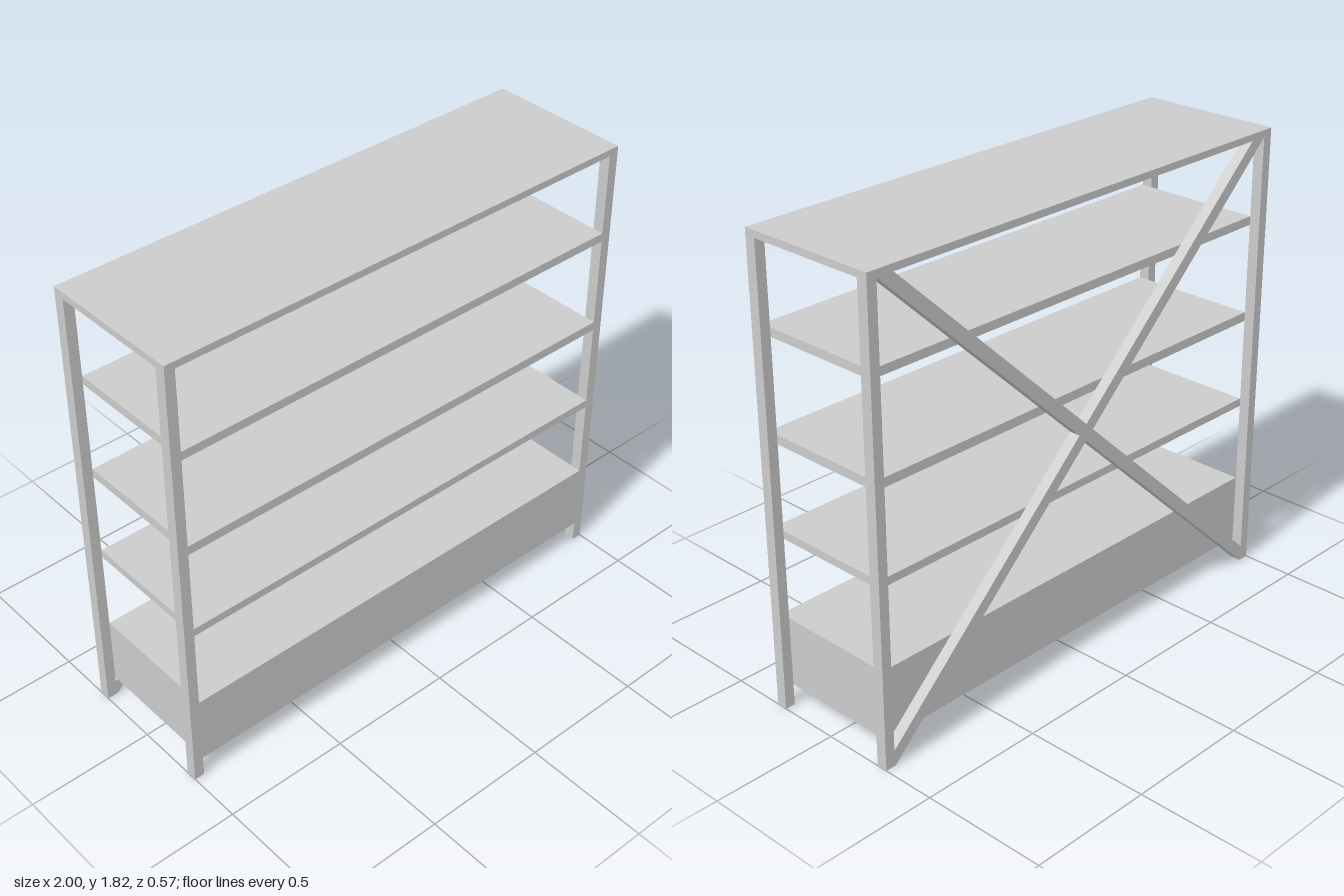
import * as THREE from 'three';

export function createModel() {
  const group = new THREE.Group();
  const material = new THREE.MeshStandardMaterial({ color: 0xcccccc });

  const W = 1, D = 0.287, H = 1.82;      // half width, half depth, height
  const IX = 0.96, IZ = 0.243;           // inner faces of the posts

  const add = (name, geometry) => {
    const mesh = new THREE.Mesh(geometry, material);
    mesh.name = name;
    group.add(mesh);
    return mesh;
  };

  // Box given by its minimum and maximum corners
  const box = (name, x0, x1, y0, y1, z0, z1) =>
    add(name, new THREE.BoxGeometry(x1 - x0, y1 - y0, z1 - z0))
      .position.set((x0 + x1) / 2, (y0 + y1) / 2, (z0 + z1) / 2);

  // Four corner posts, running up to the top board
  const topUnder = 1.793;
  for (const [side, sx] of [['left', 1], ['right', -1]]) {
    for (const [end, sz] of [['Front', 1], ['Back', -1]]) {
      const xs = [sx * IX, sx * W].sort((a, b) => a - b);
      const zs = [sz * IZ, sz * D].sort((a, b) => a - b);
      box(`${side}${end}Post`, xs[0], xs[1], 0, topUnder, zs[0], zs[1]);
    }
  }

  // Top board covers the whole footprint
  box('topBoard', -W, W, topUnder, H, -D, D);

  // Shelves: flush with the post fronts, stopping short of the back braces
  [[0.683, 0.715], [1.047, 1.083], [1.44, 1.474]].forEach(([y0, y1], i) =>
    box(`shelf${i + 1}`, -IX, IX, y0, y1, -IZ, D));

  // Closed plinth with a thin lid
  box('plinth', -IX, IX, 0.085, 0.355, -IZ, D);
  box('plinthLid', -IX, IX, 0.355, 0.363, -IZ, D);

  // Crossed back braces, trimmed against the posts, top board and floor
  const bracePoints = [[-0.96, topUnder], [-0.89, topUnder], [0.96, 0.062], [0.96, 0], [0.956, 0]];
  for (const [name, s] of [['braceFalling', 1], ['braceRising', -1]]) {
    const shape = new THREE.Shape(bracePoints.map(([x, y]) => new THREE.Vector2(s * x, y)));
    const geometry = new THREE.ExtrudeGeometry(shape, { depth: D - IZ, bevelEnabled: false });
    add(name, geometry).position.z = -D;
  }

  return group;
}
